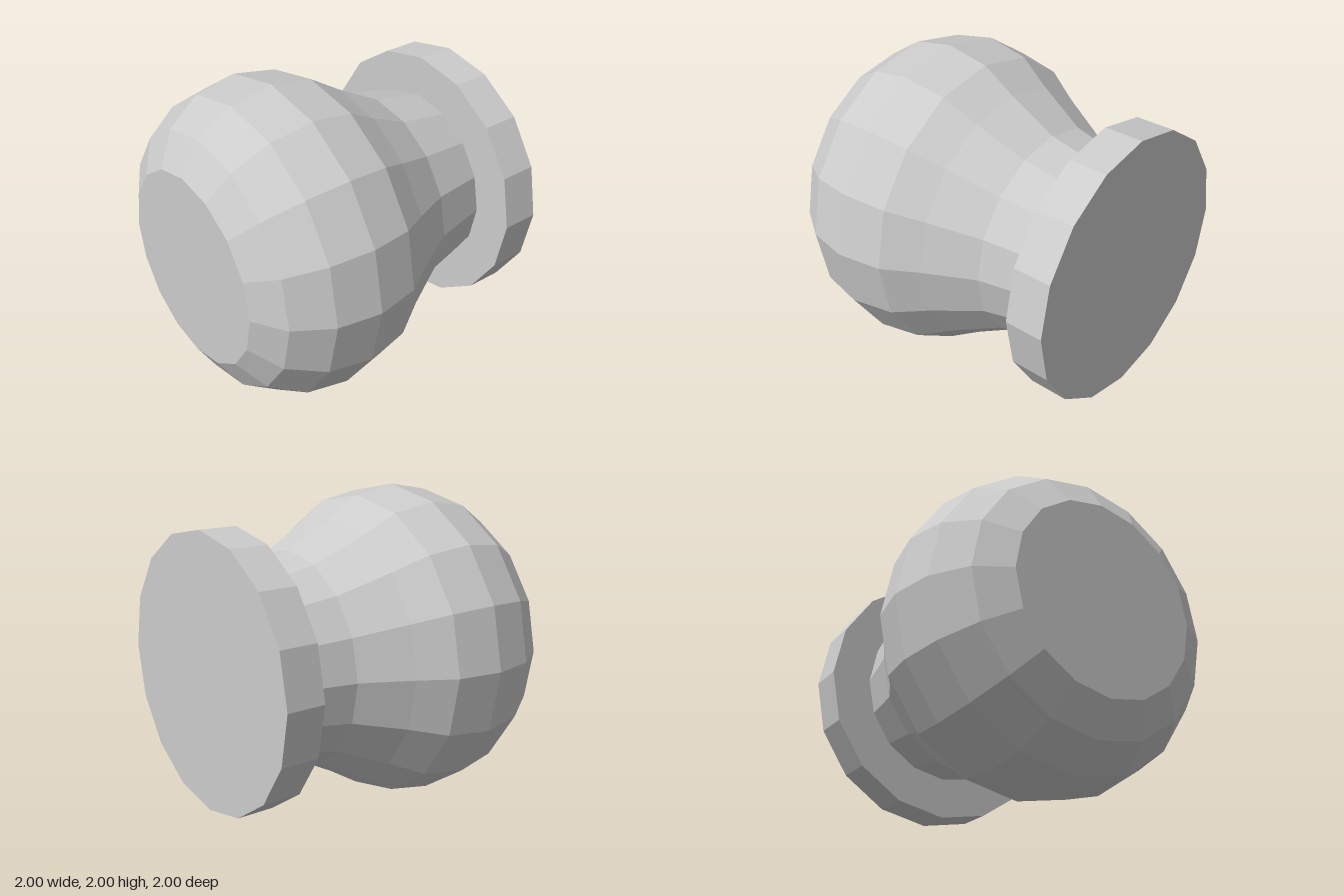
import * as THREE from 'three';

const SIDES = 16;

// Turned part along z: profile is [radius, z] pairs from back to front
function turned(name, profile, material) {
  const points = profile.map(([r, z]) => new THREE.Vector2(r, z));
  const geometry = new THREE.LatheGeometry(points, SIDES);
  geometry.rotateX(Math.PI / 2);
  geometry.translate(0, 1, 0);
  const mesh = new THREE.Mesh(geometry, material);
  mesh.name = name;
  return mesh;
}

export function createModel() {
  const material = new THREE.MeshStandardMaterial({ color: 0xcccccc, flatShading: true });
  const group = new THREE.Group();
  group.name = 'doorKnob';

  // Round mounting plate at the back
  group.add(turned('mountingPlate', [
    [0, -1], [0.84, -1], [0.84, -0.76], [0, -0.76],
  ], material));

  // Flared neck swelling into the rounded grip with a flat front
  group.add(turned('knob', [
    [0.58, -0.76], [0.66, -0.4], [0.82, -0.1], [0.95, 0.11], [1, 0.39],
    [0.95, 0.66], [0.81, 0.88], [0.61, 1], [0, 1],
  ], material));

  return group;
}
